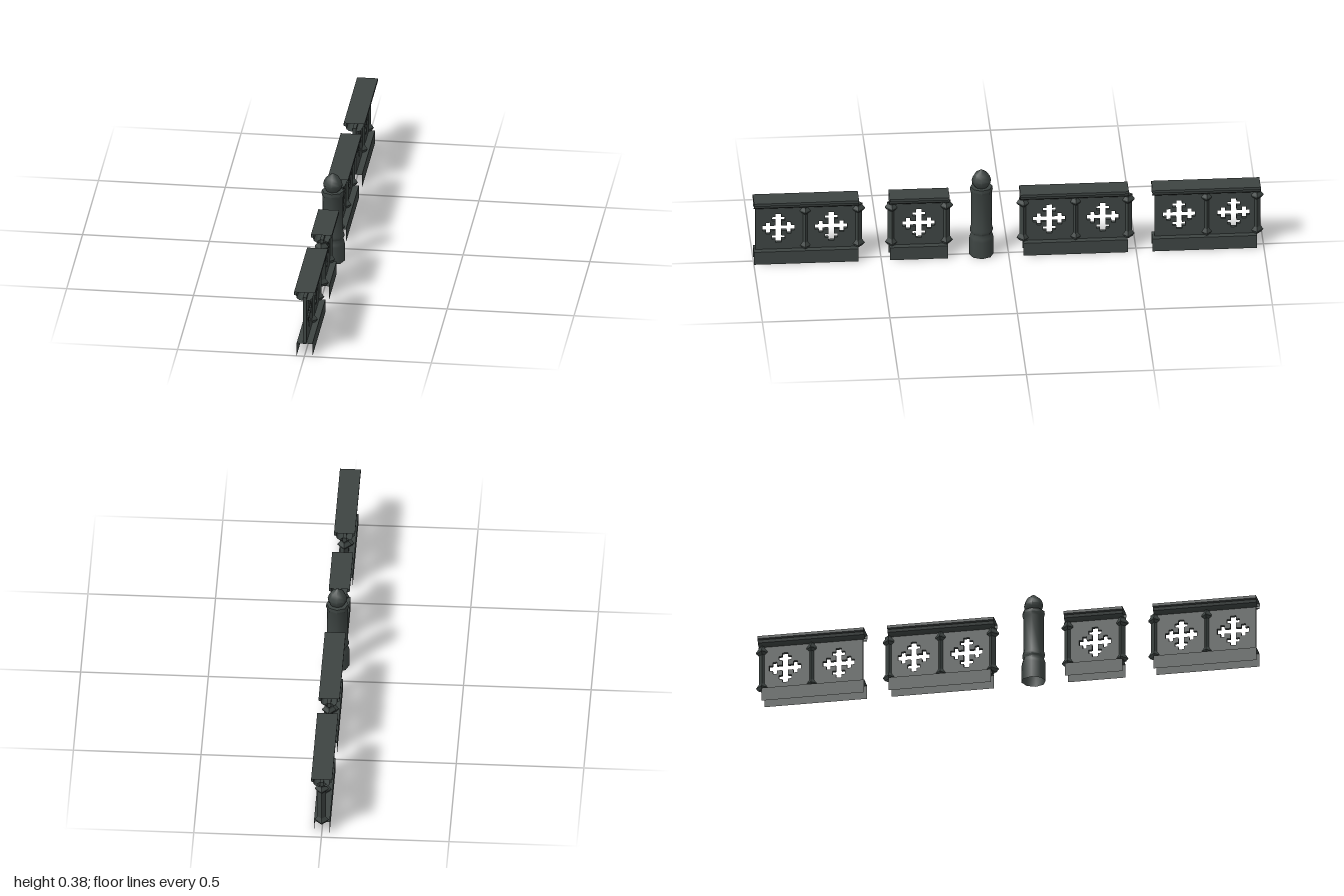
import * as THREE from 'three';
import { toCreasedNormals } from 'three/addons/utils/BufferGeometryUtils.js';

const stone = new THREE.MeshStandardMaterial({ color: 0x3d4442, side: THREE.DoubleSide });
stone.name = 'darkStone';

const mesh = (name, geometry) => {
  const m = new THREE.Mesh(geometry, stone);
  m.name = name;
  return m;
};

// Open-ended moulding: an x/y profile swept along z
function sweep(profile, z0, z1) {
  const pos = [];
  for (let i = 0; i < profile.length - 1; i++) {
    const [px, py] = profile[i], [qx, qy] = profile[i + 1];
    pos.push(px, py, z1, px, py, z0, qx, qy, z0);
    pos.push(px, py, z1, qx, qy, z0, qx, qy, z1);
  }
  const g = new THREE.BufferGeometry();
  g.setAttribute('position', new THREE.Float32BufferAttribute(pos, 3));
  g.computeVertexNormals();
  return g;
}

// Mirrors the right half of a profile to the left
const mirrored = half => [...half, ...half.slice().reverse().map(([x, y]) => [-x, y])];
const capProfile = mirrored([[0.007, 0.24], [0.021, 0.243], [0.03, 0.25], [0.033, 0.261], [0.041, 0.264], [0.041, 0.275]]);
const baseProfile = mirrored([[0.031, 0], [0.031, 0.055]]);

// Cross with a small bar across each arm, cut through the panels
function crossHole(z, y) {
  const w = 0.011, b = 0.025;
  const arm = [[w, w], [w, 0.033], [b, 0.033], [b, 0.049], [w, 0.049], [w, 0.063],
    [-w, 0.063], [-w, 0.049], [-b, 0.049], [-b, 0.033], [-w, 0.033]];
  const pts = [];
  for (let k = 0; k < 4; k++) {
    for (const [u, v] of arm) {
      pts.push(new THREE.Vector2(u, v).rotateAround(new THREE.Vector2(), k * Math.PI / 2).add(new THREE.Vector2(z, y)));
    }
  }
  return new THREE.Path(pts);
}

function panel(z0, z1, crosses) {
  const s = new THREE.Shape();
  s.moveTo(z0, 0.05).lineTo(z1, 0.05).lineTo(z1, 0.25).lineTo(z0, 0.25).closePath();
  s.holes = crosses.map(z => crossHole(z, 0.147));
  const t = 0.014;
  const g = new THREE.ExtrudeGeometry(s, { depth: t, bevelEnabled: false });
  return g.translate(0, 0, -t / 2).rotateY(-Math.PI / 2);
}

const lathe = (points, sides, crease) => toCreasedNormals(
  new THREE.LatheGeometry(points.map(([r, y]) => new THREE.Vector2(r, y)), sides), crease);

// Four-sided colonnette with flared foot and capital
const columnGeometry = lathe([[0.018, 0.055], [0.027, 0.067], [0.016, 0.083],
  [0.016, 0.207], [0.027, 0.217], [0.027, 0.223], [0.018, 0.234], [0.018, 0.243]], 4, 0.3);

const sections = [
  { cap: [0.588, 1], base: [0.59, 1], wall: [0.59, 0.993], columns: [0.59, 0.797], crosses: [0.695, 0.902] },
  { cap: [0.233, 0.468], base: [0.238, 0.467], wall: [0.245, 0.457], columns: [0.245, 0.457], crosses: [0.352] },
  { cap: [-0.47, -0.045], base: [-0.466, -0.057], wall: [-0.468, -0.059], columns: [-0.468, -0.263, -0.059], crosses: [-0.37, -0.16] },
  { cap: [-0.987, -0.563], base: [-0.973, -0.563], wall: [-0.973, -0.573], columns: [-0.973, -0.777], crosses: [-0.883, -0.669] },
];

export function createModel() {
  const model = new THREE.Group();
  model.name = 'balustrade';

  // Parapet sections
  for (const s of sections) {
    const g = new THREE.Group();
    g.name = 'parapetSection';
    g.add(mesh('cap', sweep(capProfile, ...s.cap)));
    g.add(mesh('base', sweep(baseProfile, ...s.base)));
    g.add(mesh('piercedPanel', panel(...s.wall, s.crosses)));
    for (const z of s.columns) {
      const c = mesh('column', columnGeometry);
      c.position.z = z;
      g.add(c);
    }
    model.add(g);
  }

  // Round post with a pointed dome
  const post = mesh('post', lathe([[0.048, 0], [0.048, 0.07], [0.046, 0.083], [0.041, 0.096],
    [0.045, 0.105], [0.045, 0.115], [0.041, 0.13], [0.041, 0.273], [0.045, 0.287], [0.043, 0.3],
    [0.027, 0.301], [0.036, 0.314], [0.038, 0.328], [0.034, 0.343], [0.026, 0.356], [0, 0.375]], 8, 0.85));
  post.position.z = 0.106;
  model.add(post);
  return model;
}
